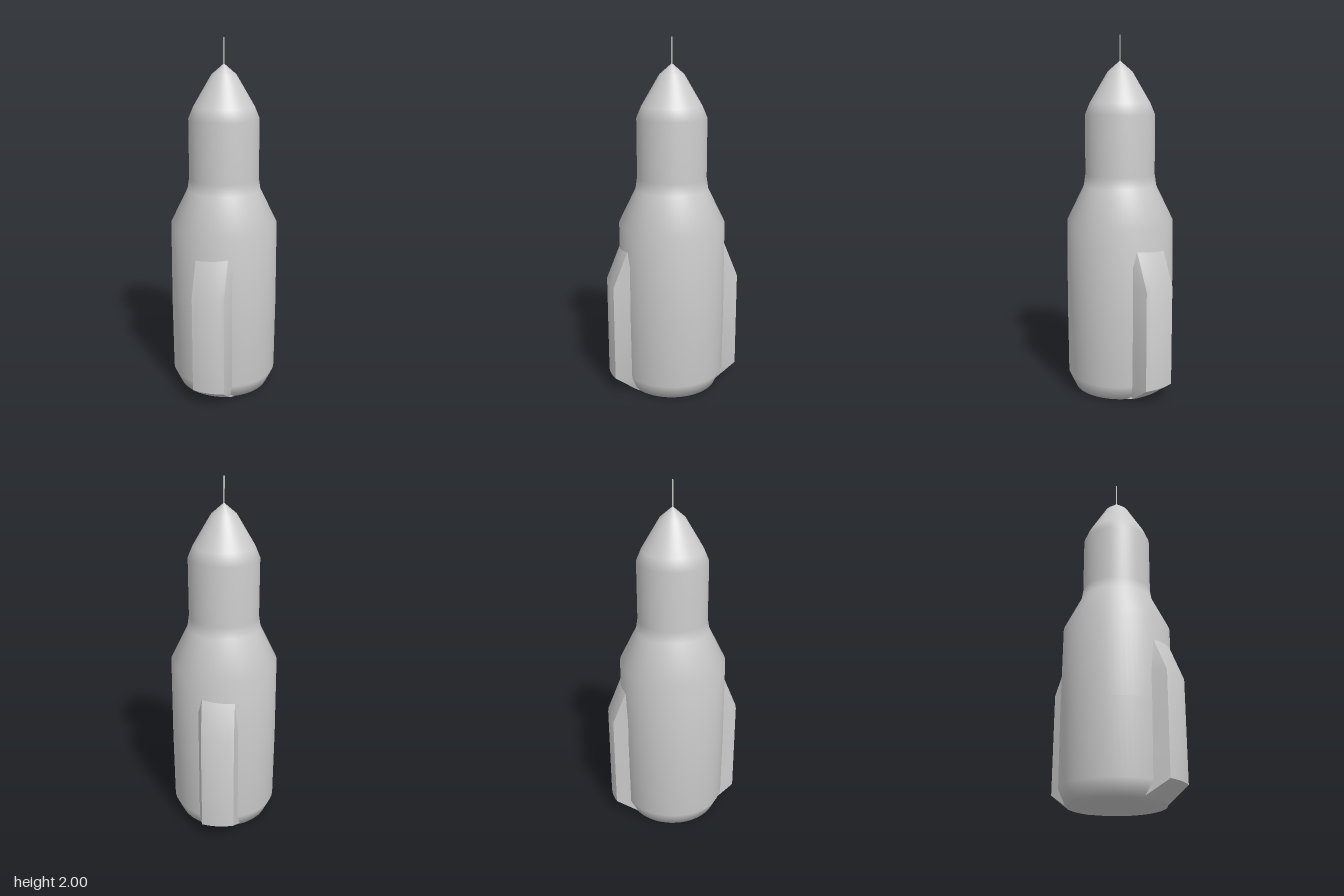
import * as THREE from 'three';
import { toCreasedNormals } from 'three/addons/utils/BufferGeometryUtils.js';

const material = new THREE.MeshStandardMaterial({ color: 0xcccccc });

function addMesh(group, name, geometry) {
  const mesh = new THREE.Mesh(geometry, material);
  mesh.name = name;
  group.add(mesh);
  return mesh;
}

// Side fairing: a curved outer face with flared flanks, lofted upwards; side is +1 (front) or -1 (back)
function fairingGeometry(side) {
  const levels = [[0.004, 0.262], [0.09, 0.38], [0.65, 0.38], [0.84, 0.302], [0.88, 0.285]]; // height, reach
  const steps = 8;
  const rings = levels.map(([y, reach]) => {
    const ring = [[-0.115, y, 0.22 * side]];
    for (let i = 0; i <= steps; i++) {
      const t = (i / steps) * 2 - 1;
      ring.push([0.01 + 0.09 * t, y, (reach - 0.013 * t * t) * side]);
    }
    ring.push([0.135, y, 0.22 * side]);
    return ring;
  });
  const positions = [];
  const triangle = (a, b, c) => positions.push(...a, ...(side > 0 ? b : c), ...(side > 0 ? c : b));
  const count = steps + 3;
  for (let r = 0; r < rings.length - 1; r++) {
    for (let j = 0; j < count; j++) {
      const k = (j + 1) % count;
      triangle(rings[r][j], rings[r][k], rings[r + 1][k]);
      triangle(rings[r][j], rings[r + 1][k], rings[r + 1][j]);
    }
  }
  // End caps
  const bottom = rings[0], top = rings[rings.length - 1];
  for (let j = 1; j < count - 1; j++) {
    triangle(bottom[0], bottom[j + 1], bottom[j]);
    triangle(top[0], top[j], top[j + 1]);
  }
  const geometry = new THREE.BufferGeometry();
  geometry.setAttribute('position', new THREE.Float32BufferAttribute(positions, 3));
  return toCreasedNormals(geometry, 0.6);
}

export function createModel() {
  const group = new THREE.Group();
  group.name = 'rocket';

  // Hull: chamfered base, wide lower stage, shoulder, narrow upper stage and nose cone
  const profile = [
    [0, 0], [0.26, 0.004], [0.3, 0.09], [0.303, 0.5], [0.3, 0.98], [0.205, 1.175], [0.195, 1.24],
    [0.195, 1.57], [0.168, 1.635], [0.068, 1.805], [0.004, 1.86], [0, 1.862],
  ].map(([r, y]) => new THREE.Vector2(r, y));
  addMesh(group, 'hull', new THREE.LatheGeometry(profile, 64));

  // Thin spike on the tip of the nose
  const spike = addMesh(group, 'noseSpike', new THREE.CylinderGeometry(0.004, 0.004, 0.15, 8));
  spike.position.y = 1.925;

  // Front and back fairings
  addMesh(group, 'frontFairing', fairingGeometry(1));
  addMesh(group, 'backFairing', fairingGeometry(-1));

  return group;
}
